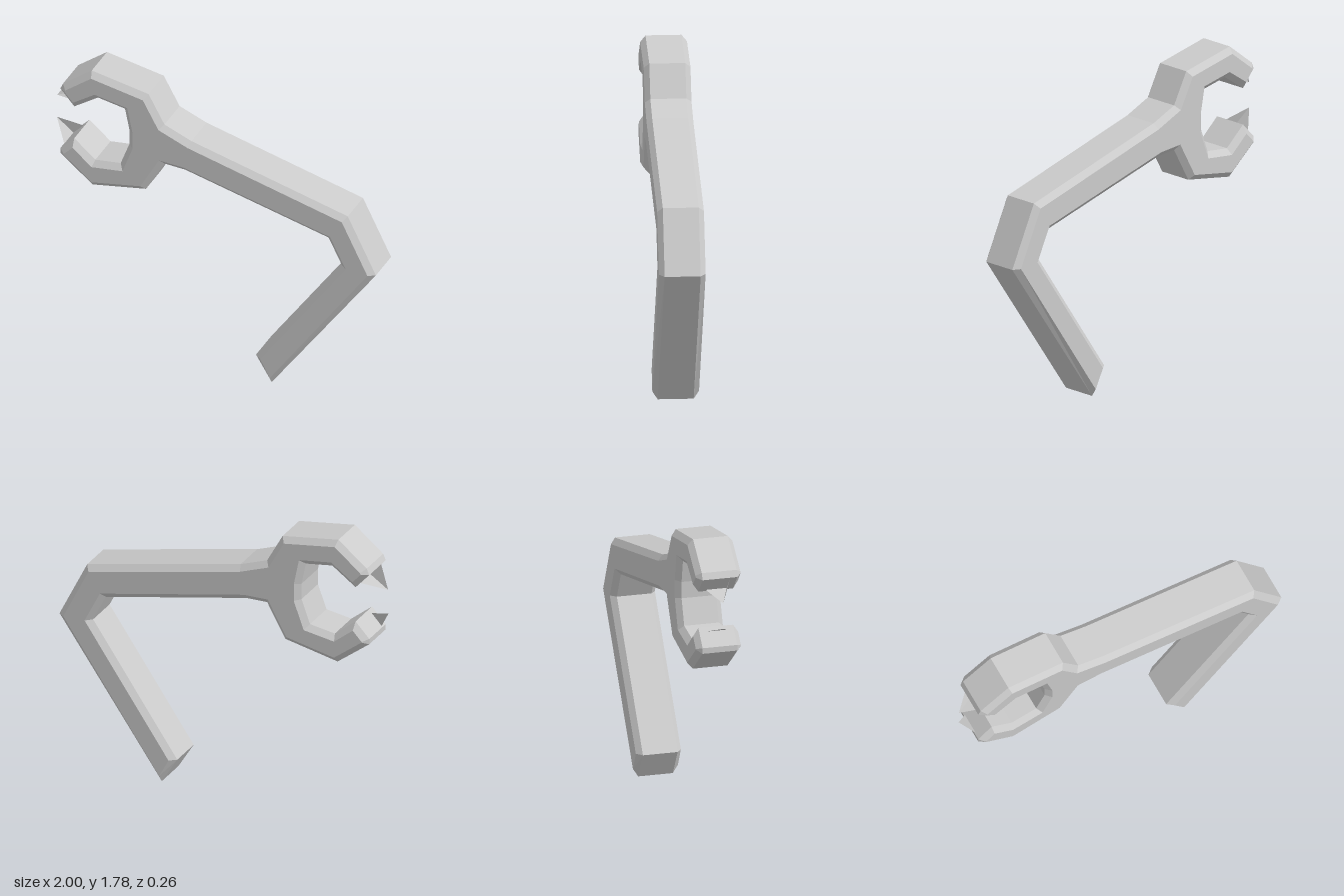
import * as THREE from 'three';

const material = new THREE.MeshStandardMaterial({ color: 0xcccccc, flatShading: true });

// Chamfered slab cut from one outline: jaws, arm and bent leg
function makeBody() {
  const outline = [
    [-0.916, 1.637], [-0.932, 1.6], [-0.847, 1.504],                     // upper jaw end
    [-0.702, 1.605], [-0.537, 1.578], [-0.51, 1.445],                    // mouth
    [-0.51, 1.349], [-0.563, 1.205], [-0.718, 1.183],
    [-0.847, 1.29], [-0.932, 1.2], [-0.932, 1.167],                      // lower jaw end
    [-0.735, 1.012], [-0.409, 1.076], [-0.296, 1.279], [-0.168, 1.274],  // underside
    [0.708, 1.071], [0.788, 0.911], [0.264, 0.157], [0.36, 0],           // inner elbow and leg
    [0.997, 0.9], [0.825, 1.247],                                        // outer elbow
    [-0.131, 1.477], [-0.296, 1.541], [-0.393, 1.717], [-0.74, 1.776],   // top
  ].map(([x, y]) => new THREE.Vector2(x, y));
  const bevel = 0.033;
  const geometry = new THREE.ExtrudeGeometry(new THREE.Shape(outline), {
    depth: 0.2, bevelEnabled: true, bevelSegments: 1,
    bevelThickness: 0.03, bevelSize: bevel, bevelOffset: -bevel,
  });
  geometry.translate(0, 0, -0.1);
  const mesh = new THREE.Mesh(geometry, material);
  mesh.name = 'clawArm';
  return mesh;
}

// Four-sided spike on a jaw end; a and b are the ends of its base, seen from the front
function makeSpike(name, a, b, tip) {
  const w = 0.062;
  const base = [[...a, w], [...b, w], [...b, -w], [...a, -w]];
  const apex = [...tip, 0];
  const points = [];
  base.forEach((p, i) => points.push(p, base[(i + 1) % 4], apex));
  points.push(base[0], base[2], base[1], base[0], base[3], base[2]);
  const geometry = new THREE.BufferGeometry();
  geometry.setAttribute('position', new THREE.Float32BufferAttribute(points.flat(), 3));
  geometry.computeVertexNormals();
  const mesh = new THREE.Mesh(geometry, material);
  mesh.name = name;
  return mesh;
}

export function createModel() {
  const group = new THREE.Group();
  group.name = 'clawTool';
  group.add(
    makeBody(),
    // base ends run so that the faces point outwards
    makeSpike('upperSpike', [-0.922, 1.595], [-0.852, 1.515], [-0.998, 1.477]),
    makeSpike('lowerSpike', [-0.862, 1.27], [-0.925, 1.203], [-1, 1.328]),
  );
  return group;
}
